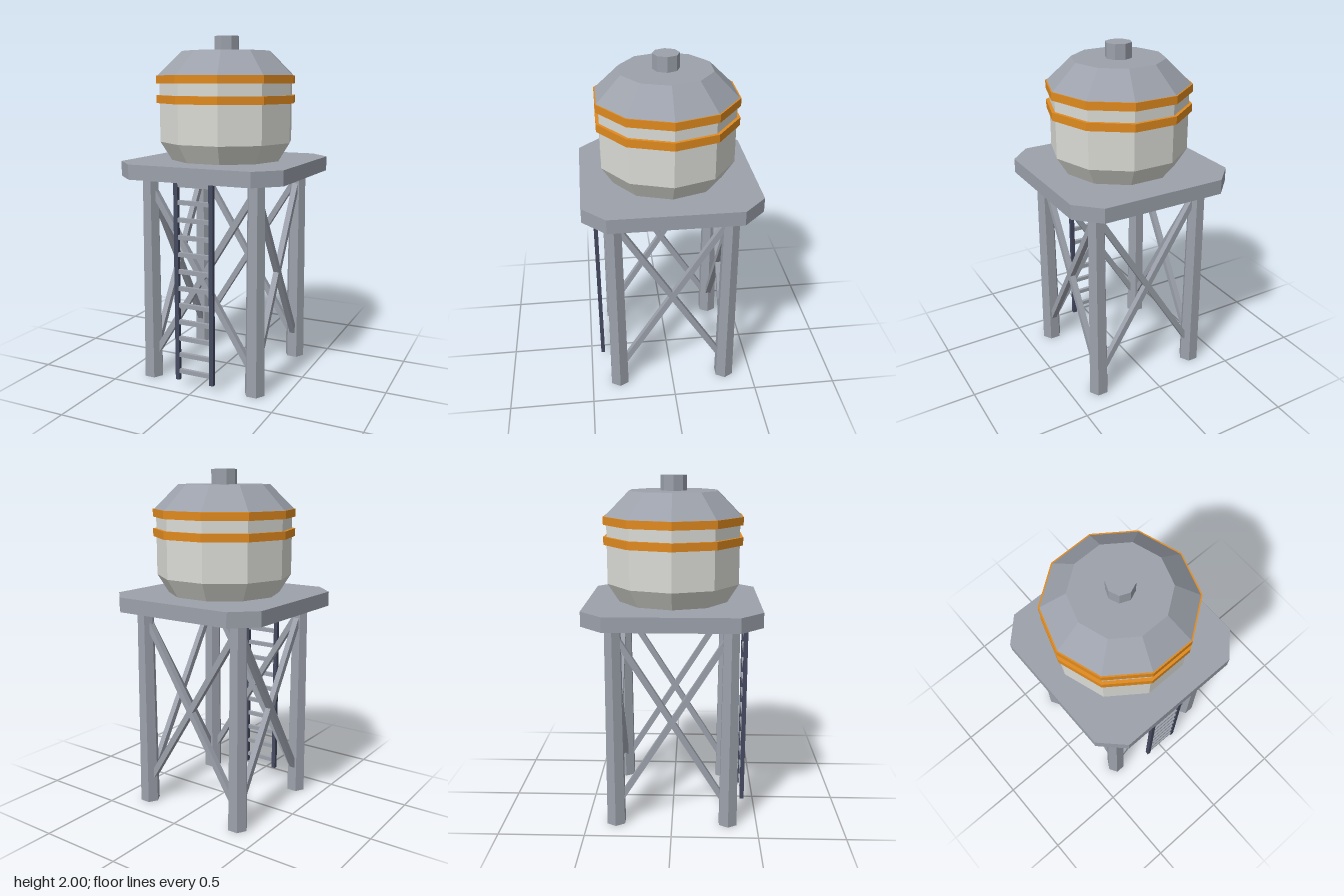
import * as THREE from 'three';

const flat = (color, name) => {
  const m = new THREE.MeshStandardMaterial({ color });
  m.name = name;
  m.flatShading = true;
  return m;
};

export function createModel() {
  const steel = flat(0x9ca1ab, 'steel grey');
  const cream = flat(0xdadad5, 'tank off-white');
  const orange = flat(0xe08a1f, 'band orange');
  const navy = flat(0x454a60, 'rail navy');

  const model = new THREE.Group();
  model.name = 'waterTower';
  const add = (parent, name, geo, mat, x = 0, y = 0, z = 0) => {
    const mesh = new THREE.Mesh(geo, mat);
    mesh.name = name;
    mesh.position.set(x, y, z);
    parent.add(mesh);
    return mesh;
  };
  // Upright prism or frustum between two heights, with a corner on +x
  const drum = (parent, name, mat, rTop, rBottom, y0, y1, sides, x = 0, z = 0) => {
    const geo = new THREE.CylinderGeometry(rTop, rBottom, y1 - y0, sides).rotateY(Math.PI / 2);
    return add(parent, name, geo, mat, x, (y0 + y1) / 2, z);
  };

  // Tank
  const tank = new THREE.Group();
  tank.name = 'tank';
  model.add(tank);
  drum(tank, 'tankBase', cream, 0.394, 0.327, 1.29, 1.397, 10);
  drum(tank, 'tankWall', cream, 0.394, 0.394, 1.397, 1.77, 10);
  drum(tank, 'lowerBand', orange, 0.413, 0.413, 1.62, 1.665, 10);
  drum(tank, 'upperBand', orange, 0.413, 0.413, 1.732, 1.777, 10);
  drum(tank, 'roof', steel, 0.263, 0.407, 1.775, 1.915, 10);
  drum(tank, 'roofCap', steel, 0.075, 0.075, 1.91, 2, 8);

  // Platform: a square with cut corners
  const h = 0.5, c = 0.37;
  const outline = [[h, -c], [h, c], [c, h], [-c, h], [-h, c], [-h, -c], [-c, -h], [c, -h]];
  const shape = new THREE.Shape(outline.map(([x, y]) => new THREE.Vector2(x, y)));
  const deck = new THREE.ExtrudeGeometry(shape, { depth: 0.085, bevelEnabled: false });
  add(model, 'platform', deck.rotateX(-Math.PI / 2), steel, 0, 1.205, 0);

  // Tapered six-sided legs
  const legAt = 0.33;
  for (const x of [-legAt, legAt])
    for (const z of [-legAt, legAt]) drum(model, 'leg', steel, 0.05, 0.06, 0, 1.21, 6, x, z);

  // Crossed braces on all four sides
  const rise = 1.055, run = 2 * legAt;
  for (let i = 0; i < 4; i++) {
    const side = new THREE.Group();
    side.name = 'crossBrace';
    side.rotation.y = i * Math.PI / 2;
    model.add(side);
    for (const s of [-1, 1]) {
      const geo = new THREE.BoxGeometry(0.034, Math.hypot(rise, run), 0.034);
      add(side, 'brace', geo, steel, 0, 0.635, legAt).rotation.z = s * Math.atan2(run, rise);
    }
  }

  // Ladder at the front
  const ladder = new THREE.Group();
  ladder.name = 'ladder';
  ladder.position.z = 0.426;
  model.add(ladder);
  for (const x of [-0.108, 0.108])
    add(ladder, 'ladderRail', new THREE.BoxGeometry(0.025, 1.158, 0.024), navy, x, 0.626, 0);
  for (let i = 0; i < 12; i++)
    add(ladder, 'rung', new THREE.BoxGeometry(0.2, 0.025, 0.02), steel, 0, 0.1 + i * 0.0986, 0);

  return model;
}
